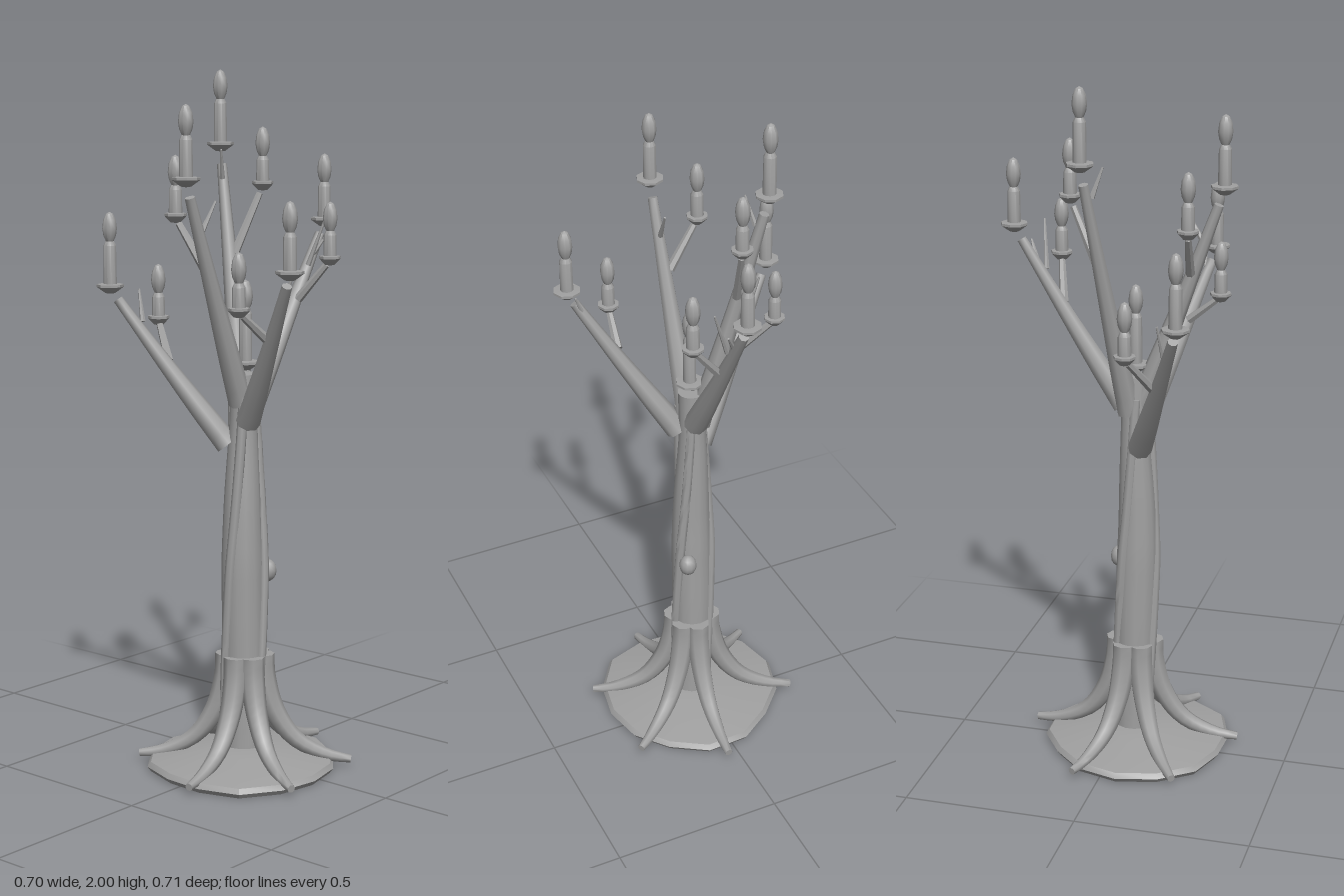
import * as THREE from 'three';
import { toCreasedNormals } from 'three/addons/utils/BufferGeometryUtils.js';

const V = (a) => new THREE.Vector3(...a);
const CX = -0.037, CZ = 0.017; // trunk axis

export function createModel() {
  const model = new THREE.Group();
  const grey = new THREE.MeshStandardMaterial({ color: 0xa0a0a0 });
  grey.name = 'grey metal';

  const add = (name, geometry, parent = model) => {
    const mesh = new THREE.Mesh(geometry, grey);
    mesh.name = name;
    parent.add(mesh);
    return mesh;
  };

  // Tube along a curve whose radius follows a list of values, with flat caps
  const limb = (name, points, radii, segments = 12, sides = 8) => {
    const curve = new THREE.CatmullRomCurve3(points.map(V));
    const geo = new THREE.TubeGeometry(curve, segments, 1, sides);
    const pos = geo.attributes.position;
    const p = new THREE.Vector3();
    for (let i = 0; i <= segments; i++) {
      const centre = curve.getPointAt(i / segments);
      const f = (i / segments) * (radii.length - 1);
      const k = Math.min(Math.floor(f), radii.length - 2);
      const r = THREE.MathUtils.lerp(radii[k], radii[k + 1], f - k);
      // first and last rings collapse onto their neighbours to close the ends
      const capped = i === 0 || i === segments;
      const target = curve.getPointAt((i === 0 ? 1 : i === segments ? segments - 1 : i) / segments);
      for (let j = 0; j <= sides; j++) {
        const n = i * (sides + 1) + j;
        p.fromBufferAttribute(pos, n).sub(centre).multiplyScalar(capped ? 0 : r).add(target);
        pos.setXYZ(n, p.x, p.y, p.z);
      }
    }
    return add(name, toCreasedNormals(geo, 0.9));
  };

  const lathe = (pts, sides) =>
    toCreasedNormals(new THREE.LatheGeometry(pts.map(([x, y]) => new THREE.Vector2(x, y)), sides), 0.7);

  // Uneven ground disc
  const disc = lathe([[0, 0.004], [0.262, 0], [0.272, 0.014], [0.262, 0.028], [0.1, 0.056], [0, 0.06]], 14);
  const dp = disc.attributes.position;
  for (let i = 0; i < dp.count; i++) {
    const a = Math.atan2(dp.getZ(i), dp.getX(i));
    const s = 1.01 + 0.03 * Math.sin(3 * a + 1) + 0.02 * Math.cos(5 * a);
    dp.setXYZ(i, dp.getX(i) * s, dp.getY(i), dp.getZ(i) * s);
  }
  const base = add('base', toCreasedNormals(disc, 0.5));
  base.position.set(-0.05, 0, 0.018);

  // Trunk, slightly swaying
  limb('trunk', [[CX, 0.02, CZ], [-0.04, 0.35, 0.014], [-0.045, 0.7, 0.014], [CX, 1, 0.012], [-0.036, 1.2, CZ]],
    [0.06, 0.06, 0.061, 0.06, 0.052, 0.04, 0.038], 26, 14);

  // Six flaring roots
  const rootProfile = [[0.05, 0.365], [0.055, 0.27], [0.085, 0.17], [0.145, 0.085], [0.23, 0.04], [0.338, 0.022]];
  for (let i = 0; i < 6; i++) {
    const a = THREE.MathUtils.degToRad(i * 60 - 5 + (i === 0 ? 9 : 0) + (i === 3 ? -5 : 0) - (i === 5 ? 4 : 0));
    limb('root', rootProfile.map(([r, y]) => [CX + r * Math.cos(a), y, CZ + r * Math.sin(a)]),
      [0.036, 0.034, 0.028, 0.02, 0.009], 18);
  }

  // Vines winding round the trunk
  for (const [start, turn, r] of [[1.75, -1.5, 0.013], [3.9, -1.5, 0.014], [5.9, -1.4, 0.014]]) {
    const path = [];
    for (let i = 0; i <= 8; i++) {
      const t = i / 8;
      const a = start + turn * t;
      const d = 0.058 - 0.024 * Math.max(0, t - 0.5) * 2;
      path.push([CX - 0.004 + d * Math.cos(a), 0.08 + 1.05 * t, CZ + d * Math.sin(a)]);
    }
    limb('vine', path, [r, r * 1.1, r], 28);
  }
  const knot = add('knot', new THREE.SphereGeometry(0.026, 12, 8));
  knot.scale.y = 1.25;
  knot.position.set(0.02, 0.578, 0.055);

  // Candle with saucer and flame bulb; y is the saucer, top is the flame tip
  const candle = (x, y, z, top, cup) => {
    const holder = new THREE.Group();
    holder.name = 'candleHolder';
    holder.position.set(x, y, z);
    model.add(holder);
    const h = top - y, bulb = 0.083;
    add('saucer', lathe([[0, -0.022], [0.014, -0.02], [cup, -0.002], [cup, 0.005], [0, 0.008]], 8), holder);
    add('candle', lathe([[0, 0], [0.019, 0], [0.018, h - bulb - 0.012], [0.012, h - bulb], [0, h - bulb]], 10), holder);
    add('flame', lathe([[0, -0.004], [0.011, 0], [0.018, 0.016], [0.021, 0.036], [0.018, 0.06], [0.01, 0.077], [0, bulb]]
      .map(([r, v]) => [r, v + h - bulb]), 10), holder);
  };

  // Main branches: [start, tip, flame top]
  const branches = [
    [[-0.03, 1.0, 0.01], [0.07, 1.79, -0.165], 2.0],
    [[-0.025, 1.03, 0.018], [0.318, 1.57, 0.02], 1.76],
    [[-0.04, 1.03, 0.018], [-0.286, 1.71, 0.022], 1.91],
    [[-0.05, 0.92, -0.005], [-0.234, 1.395, -0.316], 1.605],
    [[-0.05, 0.99, 0.03], [-0.202, 1.47, 0.314], 1.66],
  ];
  for (const [a, b, top] of branches) {
    const mid = a.map((v, i) => (v + b[i]) / 2 + (i === 1 ? -0.01 : 0));
    limb('branch', [a, mid, [b[0], b[1] - 0.008, b[2]]], [0.036, 0.031, 0.024, 0.018, 0.013], 16);
    candle(b[0], b[1], b[2], top, 0.039);
  }

  // Side twigs: [start on the branch, tip, flame top]
  const twigs = [
    [[0.03, 1.46, -0.09], [0.13, 1.68, -0.057], 1.84],
    [[0.175, 1.335, 0.025], [0.211, 1.47, 0.126], 1.63],
    [[-0.195, 1.45, 0.015], [-0.21, 1.605, -0.086], 1.77],
    [[-0.145, 1.17, -0.17], [-0.083, 1.295, -0.27], 1.45],
    [[-0.14, 1.27, 0.19], [-0.246, 1.365, 0.174], 1.52],
  ];
  for (const [a, b, top] of twigs) {
    limb('twig', [a, [b[0], b[1] - 0.008, b[2]]], [0.014, 0.009], 10, 6);
    candle(b[0], b[1], b[2], top, 0.031);
  }

  // Bare thorns
  const thorns = [
    [[0.225, 1.42, 0.025], [0.25, 1.6, 0.088]],
    [[0.25, 1.46, 0.022], [0.283, 1.53, 0.06]],
    [[0.05, 1.68, -0.14], [0.015, 1.79, -0.115]],
    [[-0.23, 1.55, 0.02], [-0.165, 1.66, 0.03]],
    [[-0.185, 1.28, -0.235], [-0.168, 1.4, -0.268]],
    [[-0.18, 1.38, 0.27], [-0.172, 1.47, 0.305]],
  ];
  for (const [a, b] of thorns) limb('thorn', [a, b], [0.009, 0.002], 8, 6);

  // Crown candle on top of the trunk
  candle(CX, 1.185, CZ + 0.003, 1.42, 0.041);

  return model;
}
